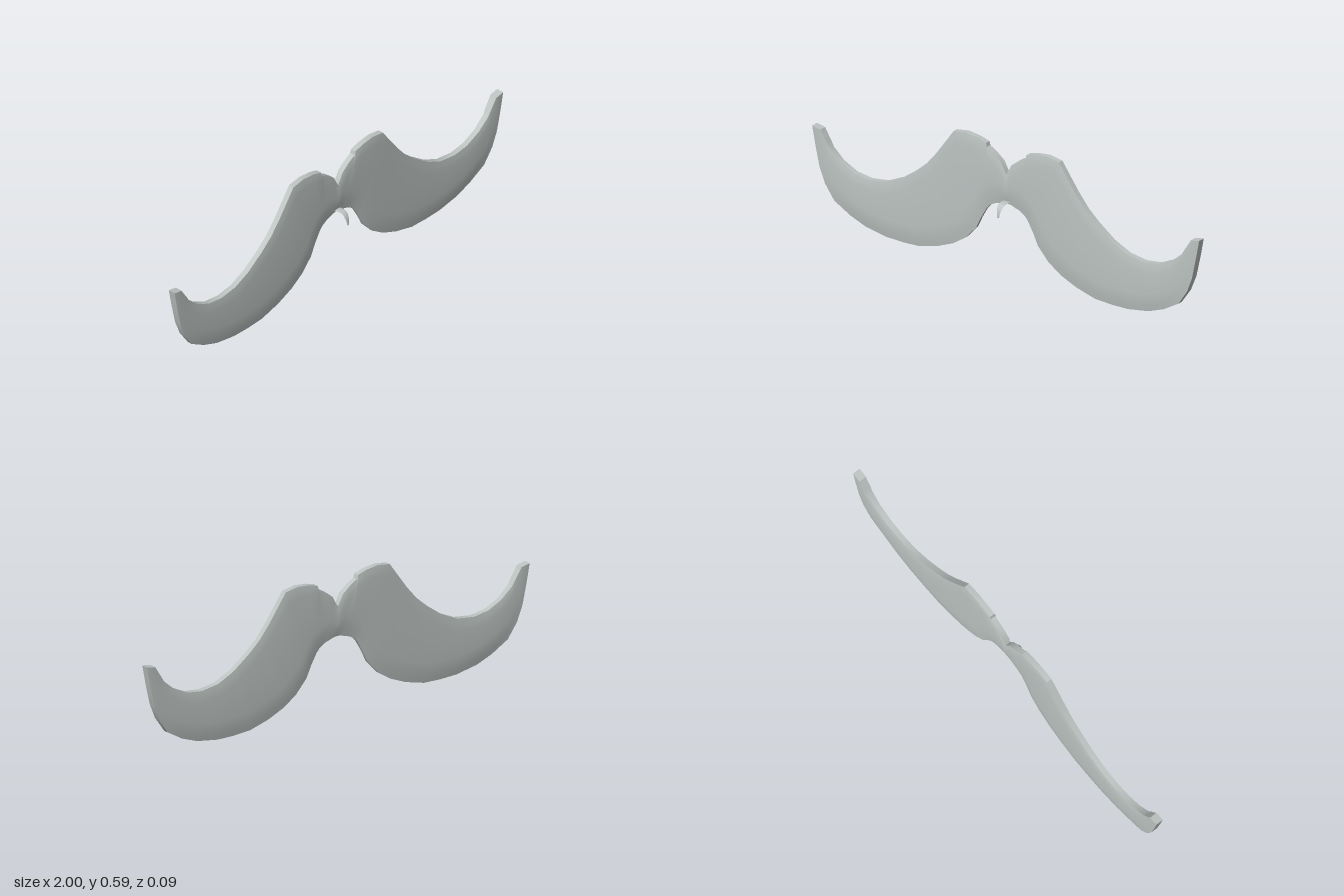
import * as THREE from 'three';
import { toCreasedNormals } from 'three/addons/utils/BufferGeometryUtils.js';

// Skins a list of matching closed loops and caps both ends
function loft(sections, crease) {
  const n = sections[0].length, last = (sections.length - 1) * n, index = [];
  for (let i = 0; i < sections.length - 1; i++) {
    for (let j = 0; j < n; j++) {
      const k = (j + 1) % n, a = i * n, b = a + n;
      index.push(a + j, b + j, b + k, a + j, b + k, a + k);
    }
  }
  for (let k = 1; k < n - 1; k++) {
    index.push(0, k, k + 1, last, last + k + 1, last + k);
  }
  const geometry = new THREE.BufferGeometry();
  geometry.setAttribute('position', new THREE.Float32BufferAttribute(sections.flat(2), 3));
  geometry.setIndex(index);
  return toCreasedNormals(geometry, crease);
}

// Half outline: upper edge x, y and matching lower edge x, y
const ROWS = [
  [0, 0.45, 0, 0.318], [0.027, 0.5, 0.02, 0.316], [0.065, 0.53, 0.04, 0.309],
  [0.1, 0.55, 0.06, 0.303], [0.105, 0.567, 0.068, 0.3], [0.15, 0.58, 0.09, 0.286],
  [0.21, 0.587, 0.107, 0.267], [0.272, 0.577, 0.134, 0.22], [0.31, 0.524, 0.16, 0.166],
  [0.36, 0.455, 0.214, 0.107], [0.41, 0.395, 0.278, 0.064], [0.465, 0.347, 0.358, 0.03],
  [0.545, 0.289, 0.455, 0.004], [0.625, 0.252, 0.54, 0], [0.71, 0.24, 0.625, 0.002],
  [0.785, 0.25, 0.73, 0.02], [0.855, 0.283, 0.81, 0.05], [0.91, 0.33, 0.89, 0.098],
  [0.925, 0.355, 0.936, 0.166], [0.945, 0.385, 0.963, 0.235],
  [0.952, 0.396, 0.985, 0.335], [0.957, 0.405, 1, 0.413],
];

// Cross-section of the plate: wide soft bevel below, narrow bevel above
function plateSection([ux, uy, lx, ly], side) {
  const full = 0.0175, midZ = -0.0275;
  const length = Math.hypot(ux - lx, uy - ly);
  const tip = THREE.MathUtils.smoothstep(lx, 0.8, 1);
  const lowEdge = THREE.MathUtils.lerp(0.0065, 0.0165, tip);
  const topEdge = THREE.MathUtils.lerp(0.0125, 0.0165, tip);
  const low = Math.min(0.09 / length, 0.45), top = Math.min(0.05 / length, 0.3);
  const profile = [
    [0, lowEdge],
    [low * 0.35, THREE.MathUtils.lerp(lowEdge, full, 0.5)],
    [low * 0.68, THREE.MathUtils.lerp(lowEdge, full, 0.84)],
    [low, full],
    [1 - top, full],
    [1 - top * 0.45, THREE.MathUtils.lerp(topEdge, full, 0.65)],
    [1, topEdge],
  ];
  const point = ([t, half], face) => [
    side * THREE.MathUtils.lerp(lx, ux, t),
    THREE.MathUtils.lerp(ly, uy, t),
    midZ + face * half,
  ];
  return [
    ...profile.map((p) => point(p, 1)),
    ...profile.slice().reverse().map((p) => point(p, -1)),
  ];
}

function plateGeometry() {
  const leftHalf = ROWS.map((row) => plateSection(row, 1));
  const rightHalf = ROWS.slice(1).reverse().map((row) => plateSection(row, -1));
  return loft([...rightHalf, ...leftHalf], 0.6);
}

// Flat hook that curls forward and down, narrowing to a point
function hookGeometry() {
  const path = new THREE.CatmullRomCurve3([
    [-0.02, 0.326], [-0.005, 0.328], [0.01, 0.327], [0.026, 0.319], [0.037, 0.302], [0.043, 0.275],
  ].map(([z, y]) => new THREE.Vector3(0, y, z)));
  const sections = [];
  for (let i = 0; i <= 20; i++) {
    const t = i / 20, p = path.getPointAt(t), d = path.getTangentAt(t);
    const halfWidth = 0.004 + 0.014 * (1 - t ** 1.5), halfThick = 0.0035 - 0.001 * t;
    const loop = [];
    for (let j = 0; j < 14; j++) {
      const a = -j / 14 * Math.PI * 2, s = Math.sin(a) * halfThick;
      loop.push([Math.cos(a) * halfWidth, p.y + d.z * s, p.z - d.y * s]);
    }
    sections.push(loop);
  }
  return loft(sections, 1);
}

export function createModel() {
  const group = new THREE.Group();
  group.name = 'moustache';
  const grey = new THREE.MeshStandardMaterial({ color: 0xbcc3c1 });
  grey.name = 'pale grey';

  const plate = new THREE.Mesh(plateGeometry(), grey);
  plate.name = 'moustachePlate';
  const hook = new THREE.Mesh(hookGeometry(), grey);
  hook.name = 'noseHook';
  group.add(plate, hook);
  return group;
}
